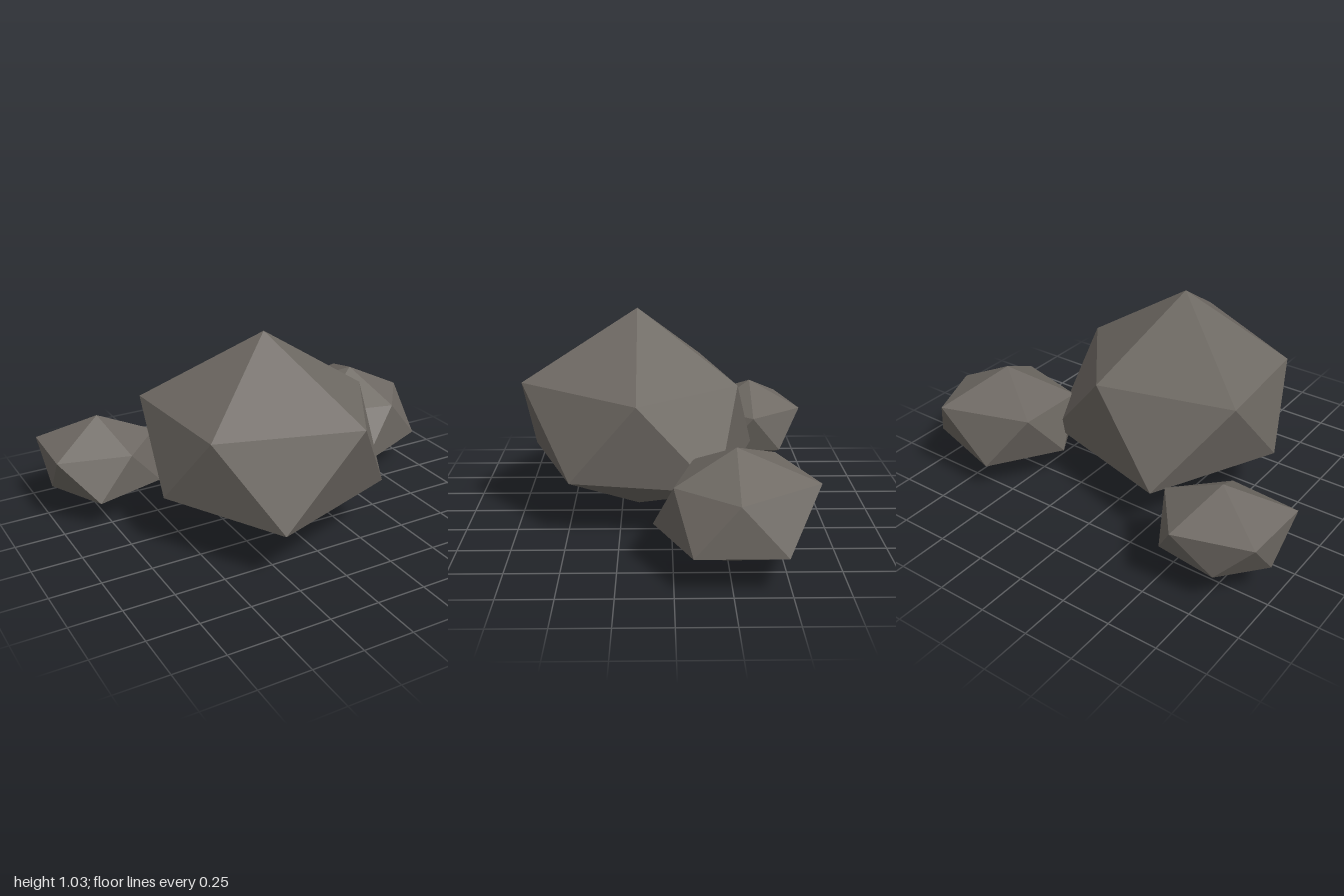
import * as THREE from 'three';

// A faceted boulder: two poles and two staggered rings of five corners.
// Rings run counter-clockwise seen from above; lower[i] sits between upper[i] and upper[i + 1].
function createRock(name, { top, bottom, upper, lower }, material) {
  const points = [];
  for (let i = 0; i < 5; i++) {
    const j = (i + 1) % 5;
    points.push(
      top, upper[i], upper[j],
      upper[i], lower[i], upper[j],
      lower[i], lower[j], upper[j],
      bottom, lower[j], lower[i]
    );
  }
  const geometry = new THREE.BufferGeometry();
  geometry.setAttribute('position', new THREE.Float32BufferAttribute(points.flat(), 3));
  geometry.computeVertexNormals();
  const mesh = new THREE.Mesh(geometry, material);
  mesh.name = name;
  return mesh;
}

// Large central boulder
const large = {
  top: [-0.105, 1.03, 0.165],
  bottom: [-0.105, 0, 0.165],
  upper: [[-0.6, 0.69, -0.165], [-0.53, 0.665, 0.45], [0.095, 0.7, 0.725], [0.445, 0.67, 0.165], [0.07, 0.675, -0.325]],
  lower: [[-0.64, 0.3, 0.165], [-0.3, 0.27, 0.71], [0.375, 0.28, 0.485], [0.44, 0.255, -0.21], [-0.315, 0.27, -0.43]],
};

// Medium boulder on the +x side
const medium = {
  top: [0.69, 0.56, -0.275],
  bottom: [0.69, 0.03, -0.275],
  upper: [[0.38, 0.435, -0.48], [0.4, 0.41, -0.1], [0.785, 0.41, 0], [1, 0.405, -0.275], [0.82, 0.44, -0.63]],
  lower: [[0.335, 0.18, -0.275], [0.56, 0.155, 0.09], [1, 0.175, -0.08], [1, 0.175, -0.48], [0.58, 0.16, -0.595]],
};

// Small boulder on the -x side
const small = {
  top: [-0.72, 0.505, -0.455],
  bottom: [-0.72, 0.03, -0.455],
  upper: [[-0.99, 0.375, -0.63], [-1, 0.375, -0.275], [-0.635, 0.355, -0.22], [-0.415, 0.36, -0.455], [-0.625, 0.365, -0.73]],
  lower: [[-0.98, 0.17, -0.455], [-0.825, 0.155, -0.18], [-0.465, 0.155, -0.28], [-0.49, 0.16, -0.61], [-0.81, 0.175, -0.665]],
};

export function createModel() {
  const stone = new THREE.MeshStandardMaterial({ color: 0x6e6963, flatShading: true });
  stone.name = 'stone';

  const group = new THREE.Group();
  group.name = 'boulders';
  group.add(
    createRock('largeBoulder', large, stone),
    createRock('mediumBoulder', medium, stone),
    createRock('smallBoulder', small, stone)
  );
  return group;
}
